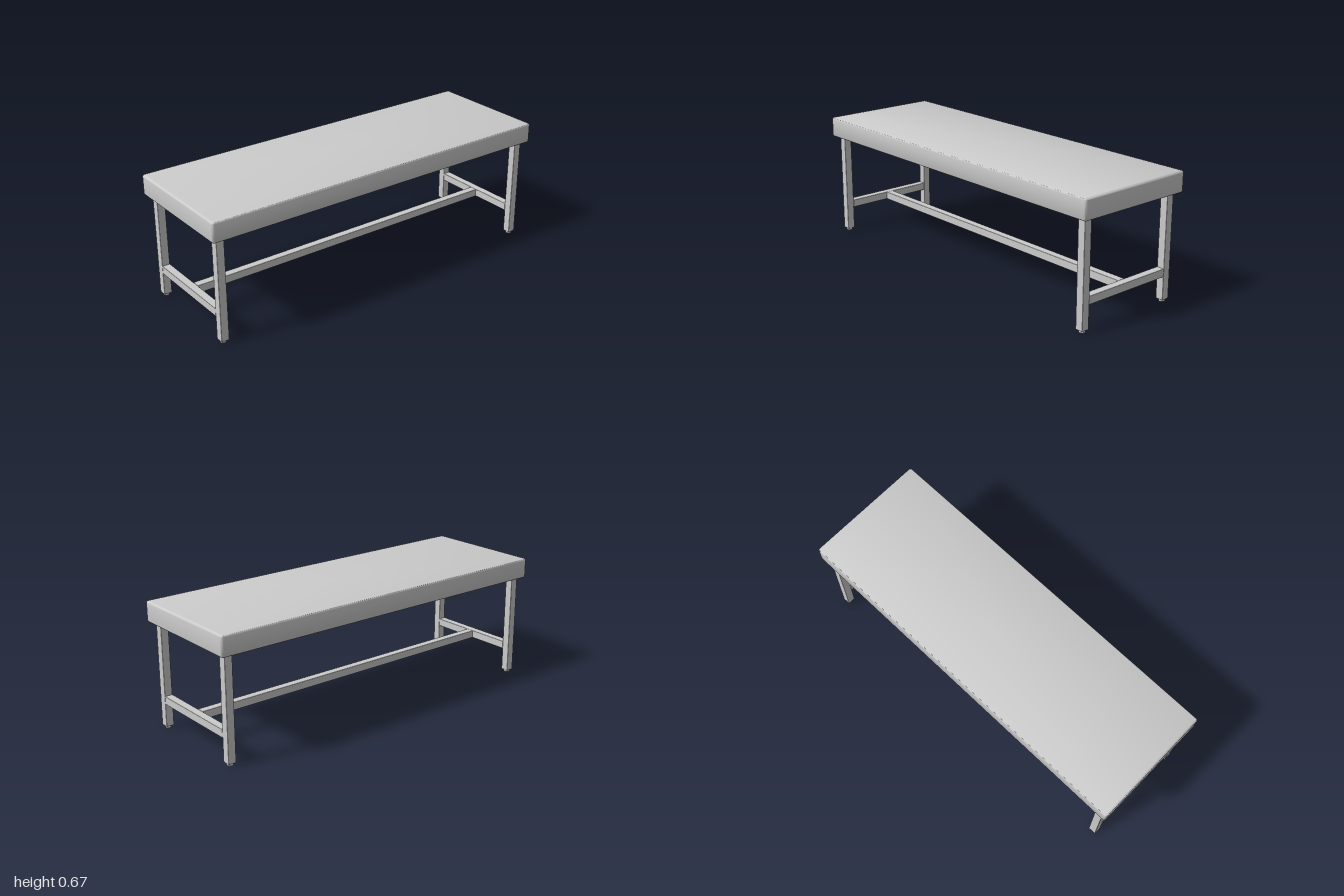
import * as THREE from 'three';
import { toCreasedNormals } from 'three/addons/utils/BufferGeometryUtils.js';
import { RoundedBoxGeometry } from 'three/addons/geometries/RoundedBoxGeometry.js';

const HX = 1, HZ = 0.333;            // cushion half sizes
const TOP = 0.668, UNDER = 0.558;    // cushion top and lower lip
const PANEL = 0.605;                 // recessed underside
const BAR = 0.043;                   // square tube size
const LX = 0.946, LZ = 0.279;        // leg centres
const ROUND = 0.012;

// Rounded rectangle outline, inset from the cushion's outer size
function outline(inset, y) {
  const r = Math.max(ROUND - inset, 0.0005), points = [];
  const cx = HX - inset - r, cz = HZ - inset - r;
  [[1, 1], [-1, 1], [-1, -1], [1, -1]].forEach(([sx, sz], q) => {
    for (let i = 0; i <= 4; i++) {
      const a = (q + i / 4) * Math.PI / 2;
      points.push([sx * cx + r * Math.cos(a), y, sz * cz + r * Math.sin(a)]);
    }
  });
  return points;
}

// Padded top: outlines joined from the recessed panel, round the lip, to the top
function cushionGeometry() {
  const profile = [[0.034, PANEL], [0.034, UNDER]];
  for (let i = 0; i <= 4; i++) {
    const a = i / 4 * Math.PI / 2;
    profile.push([ROUND * (1 - Math.sin(a)), UNDER + ROUND * (1 - Math.cos(a))]);
  }
  for (let i = 0; i <= 4; i++) {
    const a = i / 4 * Math.PI / 2;
    profile.push([ROUND * (1 - Math.cos(a)), TOP - ROUND * (1 - Math.sin(a))]);
  }
  const loops = profile.map(([inset, y]) => outline(inset, y));
  const n = loops[0].length;
  loops.unshift(Array(n).fill([0, PANEL, 0]));
  loops.push(Array(n).fill([0, TOP, 0]));

  const index = [], last = loops.length - 2;
  for (let j = 0; j <= last; j++) {
    for (let i = 0; i < n; i++) {
      const a = j * n + i, b = j * n + (i + 1) % n, c = a + n, d = b + n;
      if (j < last) index.push(a, c, d);
      else index.push(a, c, b);
      if (j > 0 && j < last) index.push(a, d, b);
    }
  }
  const geometry = new THREE.BufferGeometry();
  geometry.setAttribute('position', new THREE.Float32BufferAttribute(loops.flat(2), 3));
  geometry.setIndex(index);
  return toCreasedNormals(geometry, 0.7);
}

export function createModel() {
  const model = new THREE.Group();
  model.name = 'paddedBench';
  const material = new THREE.MeshStandardMaterial({ color: 0xcccccc });

  function add(name, geometry, x, y, z) {
    const mesh = new THREE.Mesh(geometry, material);
    mesh.name = name;
    mesh.position.set(x, y, z);
    model.add(mesh);
  }
  const tube = (w, h, d) => new RoundedBoxGeometry(w, h, d, 2, 0.003);

  add('cushion', cushionGeometry(), 0, 0, 0);

  // Legs with small round feet
  const legBottom = 0.012, legTop = PANEL;
  for (const sx of [-1, 1]) {
    for (const sz of [-1, 1]) {
      add('leg', tube(BAR, legTop - legBottom, BAR), sx * LX, (legTop + legBottom) / 2, sz * LZ);
      add('foot', new THREE.CylinderGeometry(0.0155, 0.0155, 0.016, 20), sx * LX, 0.008, sz * LZ);
    }
  }

  // Frame rails set into the underside
  const railY = (PANEL + UNDER) / 2 + 0.001, railH = PANEL - UNDER;
  for (const s of [-1, 1]) {
    add('longRail', tube(2 * LX - BAR, railH, BAR), 0, railY, s * LZ);
    add('endRail', tube(BAR, railH, 2 * LZ - BAR), s * LX, railY, 0);
  }

  // Cross slats under the panel
  for (const x of [-0.48, 0, 0.48]) {
    add('crossSlat', tube(BAR, 0.024, 2 * LZ - BAR), x, PANEL - 0.011, 0);
  }

  // Low H-shaped stretcher
  const lowY = 0.157;
  for (const s of [-1, 1]) {
    add('endStretcher', tube(BAR, BAR, 2 * LZ - BAR), s * LX, lowY, 0);
  }
  add('longStretcher', tube(2 * LX - BAR, BAR, BAR), 0, lowY, 0);

  return model;
}
